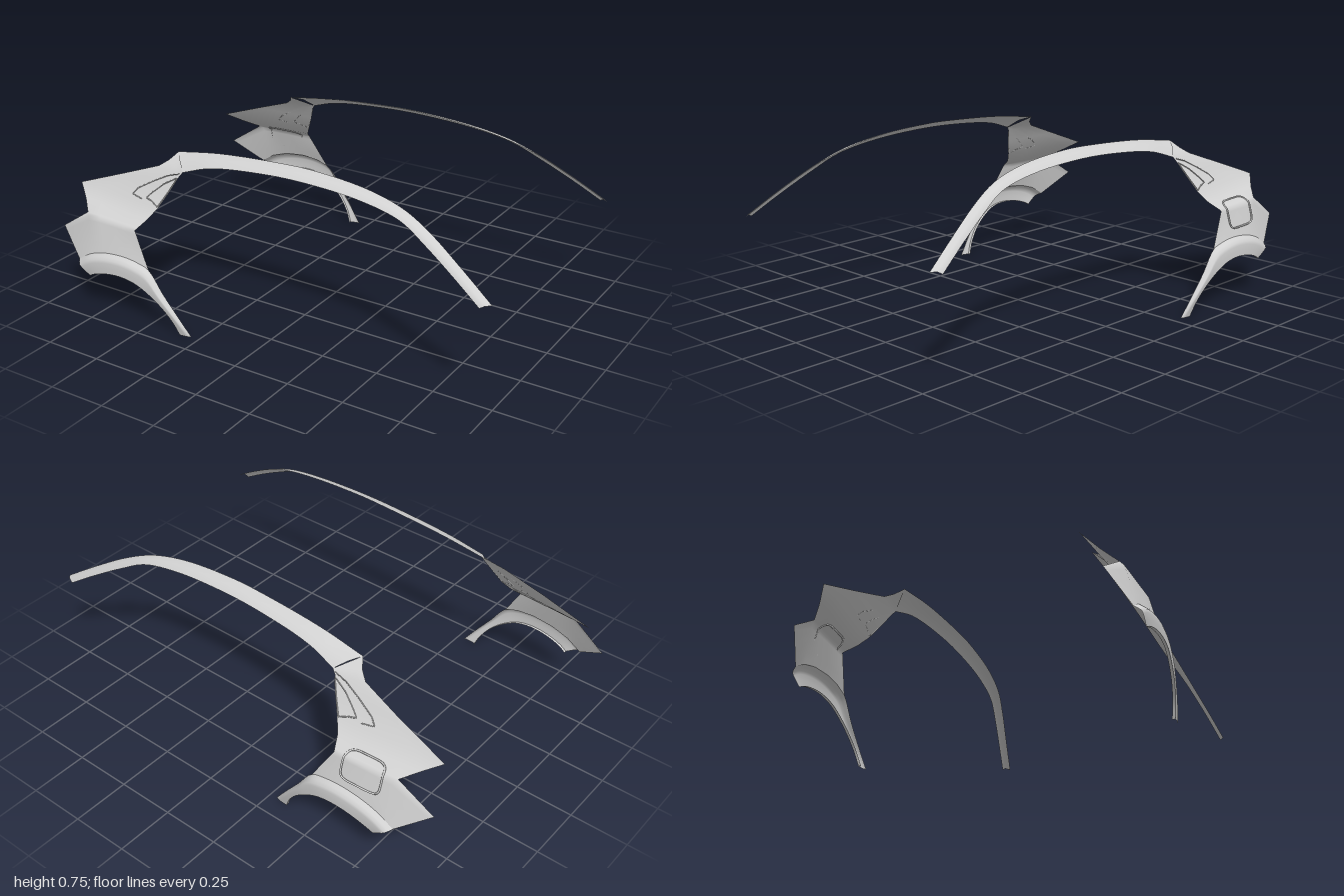
import * as THREE from 'three';

const panelMat = new THREE.MeshStandardMaterial({ color: 0xd2d2d2, side: THREE.DoubleSide });
panelMat.name = 'panel grey';

const V = (p) => new THREE.Vector3(...p);
// Smooth curve through a few points, sampled n+1 times
const smooth = (pts, n) => new THREE.CatmullRomCurve3(pts.map(V), false, 'centripetal').getPoints(n);
// Straight row of points between two ends
const line = (a, b, n) => Array.from({ length: n + 1 }, (_, i) => V(a).lerp(V(b), i / n));
// Row part way between two rows, with an optional offset
const between = (r, s, t, dy = 0, dz = 0) =>
  r.map((p, i) => p.clone().lerp(s[i], t).add(new THREE.Vector3(0, dy, dz)));

// Skin rows of points (listed top to bottom, rear to front); side mirrors in z
function skin(name, rows, side) {
  const pos = [], idx = [], w = rows[0].length;
  rows.forEach((r) => r.forEach((p) => pos.push(p.x, p.y, p.z * side)));
  for (let i = 0; i < rows.length - 1; i++) {
    for (let j = 0; j < w - 1; j++) {
      const a = i * w + j, b = a + 1, c = a + w, d = c + 1;
      if (side > 0) idx.push(a, c, b, b, c, d);
      else idx.push(a, b, c, b, d, c);
    }
  }
  const g = new THREE.BufferGeometry();
  g.setAttribute('position', new THREE.Float32BufferAttribute(pos, 3));
  g.setIndex(idx);
  g.computeVertexNormals();
  const m = new THREE.Mesh(g, panelMat);
  m.name = name;
  return m;
}

// Thin raised seam following the surface
function seam(name, pts, side, closed, r) {
  const curve = new THREE.CatmullRomCurve3(
    pts.map((p) => new THREE.Vector3(p[0], p[1], p[2] * side)), closed, 'catmullrom', 0.1);
  const m = new THREE.Mesh(new THREE.TubeGeometry(curve, 64, r, 6, closed), panelMat);
  m.name = name;
  return m;
}

// Depth of the pillar and of the flank around the shoulder
const pillarZ = (x, y) => 0.565 + 0.108 * (x + 0.51) - 0.55 * (y - 0.49);
const flankZ = (x, y) => 0.645 + 0.057 * (x + 0.69) + (0.41 - y) * (y > 0.41 ? 1.6 : 0.3);

function buildSide(side) {
  const g = new THREE.Group();
  g.name = side > 0 ? 'frontSidePanel' : 'backSidePanel';

  // Long curved roof rail
  const top = smooth([[-0.51, 0.69, 0.41], [-0.3, 0.721, 0.404], [0, 0.742, 0.402], [0.15, 0.745, 0.404],
    [0.4, 0.727, 0.415], [0.57, 0.692, 0.436], [0.7, 0.64, 0.468], [0.85, 0.555, 0.509], [1, 0.46, 0.548]], 48);
  const low = smooth([[-0.43, 0.64, 0.49], [-0.3, 0.68, 0.475], [-0.05, 0.707, 0.465], [0.15, 0.712, 0.463],
    [0.4, 0.698, 0.468], [0.58, 0.664, 0.482], [0.7, 0.605, 0.508], [0.84, 0.525, 0.543], [0.96, 0.45, 0.573]], 48);
  g.add(skin('roofRail', [top, between(top, low, 0.5, 0.007, 0.006), low], side));

  // Rear pillar rows, from the rail down to the shoulder
  const pillar = [
    [[-0.51, 0.69, 0.41], [-0.43, 0.64, 0.49]],
    [[-0.535, 0.66, 0.445], [-0.435, 0.632, 0.492]],
    [[-0.57, 0.635, 0.47], [-0.445, 0.62, 0.496]],
    [[-0.75, 0.57, 0.495], [-0.472, 0.56, 0.528]],
    [[-0.97, 0.49, 0.515], [-0.51, 0.49, 0.563]],
    [[-0.9, 0.45, 0.57], [-0.54, 0.445, 0.598]],
    [[-0.844, 0.418, 0.623], [-0.56, 0.417, 0.64]],
  ].map(([a, b]) => [V(a), ...line(a, b, 4)]);

  // Flank rows, from the shoulder to the wheel arch, with a pointed rear corner
  const shoulder = [V([-0.83, 0.41, 0.635]), ...line([-0.83, 0.41, 0.635], [-0.565, 0.41, 0.65], 4)];
  const flankTop = [V([-1, 0.315, 0.61]), ...shoulder.slice(1)];
  const creasePts = [[-0.865, 0.215, 0.675], [-0.8, 0.255, 0.677], [-0.72, 0.28, 0.678], [-0.62, 0.29, 0.679],
    [-0.54, 0.282, 0.679], [-0.48, 0.262, 0.678], [-0.41, 0.17, 0.678], [-0.34, 0.08, 0.673], [-0.285, 0.005, 0.665]];
  const flankLow = creasePts.slice(0, 6).map(V);
  const flank = [0, 0.12, 0.4, 0.7, 1].map((t) => between(flankTop, flankLow, t));
  g.add(skin('quarterPanel', [...pillar, ...flank], side));

  // Flared wheel arch with its turned-in lip and forward leg; the flare fades at the foot
  const crease = smooth(creasePts, 40);
  const edge = smooth([[-0.79, 0.165, 0.698], [-0.76, 0.181, 0.703], [-0.7, 0.2, 0.707], [-0.62, 0.21, 0.709],
    [-0.54, 0.2, 0.708], [-0.475, 0.168, 0.703], [-0.41, 0.115, 0.694], [-0.365, 0.055, 0.682], [-0.34, 0, 0.671]], 40);
  const flare = [[0, 0], [0.13, 0.011], [0.26, 0.018], [0.42, 0.016], [0.7, 0.009], [1, 0]].map(([t, bulge]) => {
    const row = between(crease, edge, t);
    row.forEach((p, i) => { p.z += bulge * Math.min(1, 0.25 + (40 - i) / 16); });
    return row;
  });
  g.add(skin('archFlare', flare, side));
  g.add(skin('archLip', [edge, between(edge, edge, 0, 0, -0.012)], side));

  // Quarter window outline on the pillar
  const onPillar = ([x, y]) => [x, y, pillarZ(x, y)];
  g.add(seam('windowSeam', [[-0.585, 0.515], [-0.55, 0.508], [-0.515, 0.495], [-0.48, 0.555],
    [-0.45, 0.615], [-0.51, 0.582], [-0.56, 0.54]].map(onPillar), side, true, 0.0025));
  g.add(seam('windowTrimSeam', [[-0.61, 0.505], [-0.665, 0.512], [-0.64, 0.54], [-0.57, 0.58],
    [-0.5, 0.615], [-0.445, 0.632]].map(onPillar), side, false, 0.002));
  return g;
}

export function createModel() {
  const model = new THREE.Group();
  model.name = 'sidePanels';
  const back = buildSide(-1);
  model.add(buildSide(1), back);

  // Rounded filler flap outline, folded over the shoulder on the back side only
  const ring = [];
  for (let i = 0; i < 48; i++) {
    const a = (i / 48) * Math.PI * 2, c = Math.cos(a), s = Math.sin(a);
    const x = -0.697 + 0.088 * Math.sign(c) * Math.abs(c) ** 0.4;
    const y = 0.38 + 0.055 * Math.sign(s) * Math.abs(s) ** 0.4;
    ring.push([x, y, flankZ(x, y)]);
  }
  back.add(seam('fillerFlapSeam', ring, -1, true, 0.004));
  return model;
}
